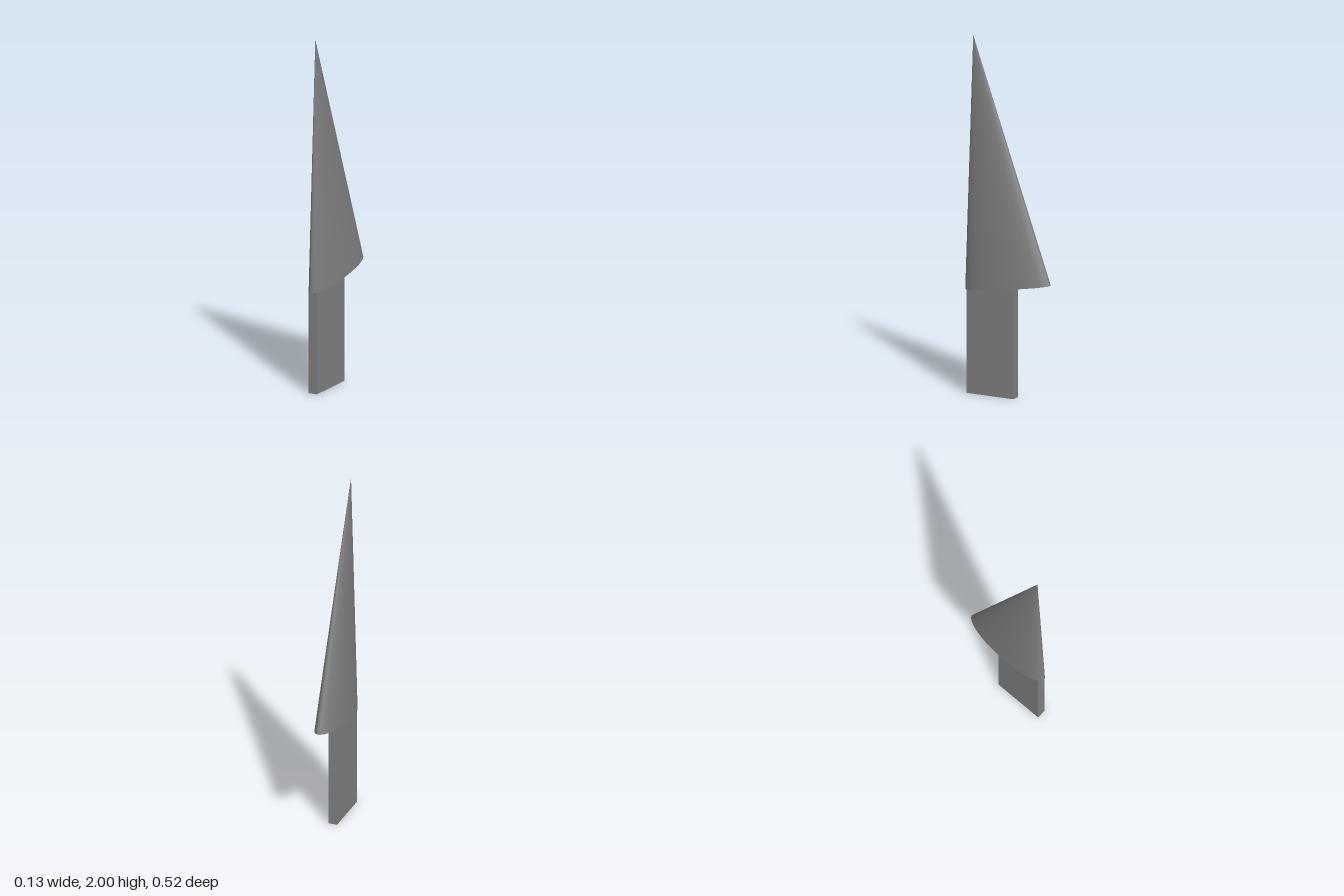
import * as THREE from 'three';

export function createModel() {
  const group = new THREE.Group();
  const grey = new THREE.MeshStandardMaterial({ color: 0x808080 });
  grey.name = 'grey';

  const slope = 0.04 / 0.26; // fall of the blade's base towards the front
  const baseY = 0.615;

  // Blade: a flattened cone tipped forwards
  const cone = new THREE.ConeGeometry(0.263, 1.402, 32);
  cone.translate(0, 0.701, 0);
  cone.scale(0.067 / 0.263, 1, 1);
  cone.rotateX(Math.atan(slope));
  cone.translate(0, baseY, 0);
  const blade = new THREE.Mesh(cone, grey);
  blade.name = 'blade';
  group.add(blade);

  // Handle: a flat bar whose top is cut to meet the sloping base
  const bar = new THREE.BoxGeometry(0.05, 0.6, 0.287);
  bar.translate(0, 0.3, 0.0965);
  const p = bar.attributes.position;
  for (let i = 0; i < p.count; i++) {
    if (p.getY(i) > 0.3) p.setY(i, baseY - slope * p.getZ(i) + 0.002);
  }
  bar.computeVertexNormals();
  const handle = new THREE.Mesh(bar, grey);
  handle.name = 'handle';
  group.add(handle);

  return group;
}
